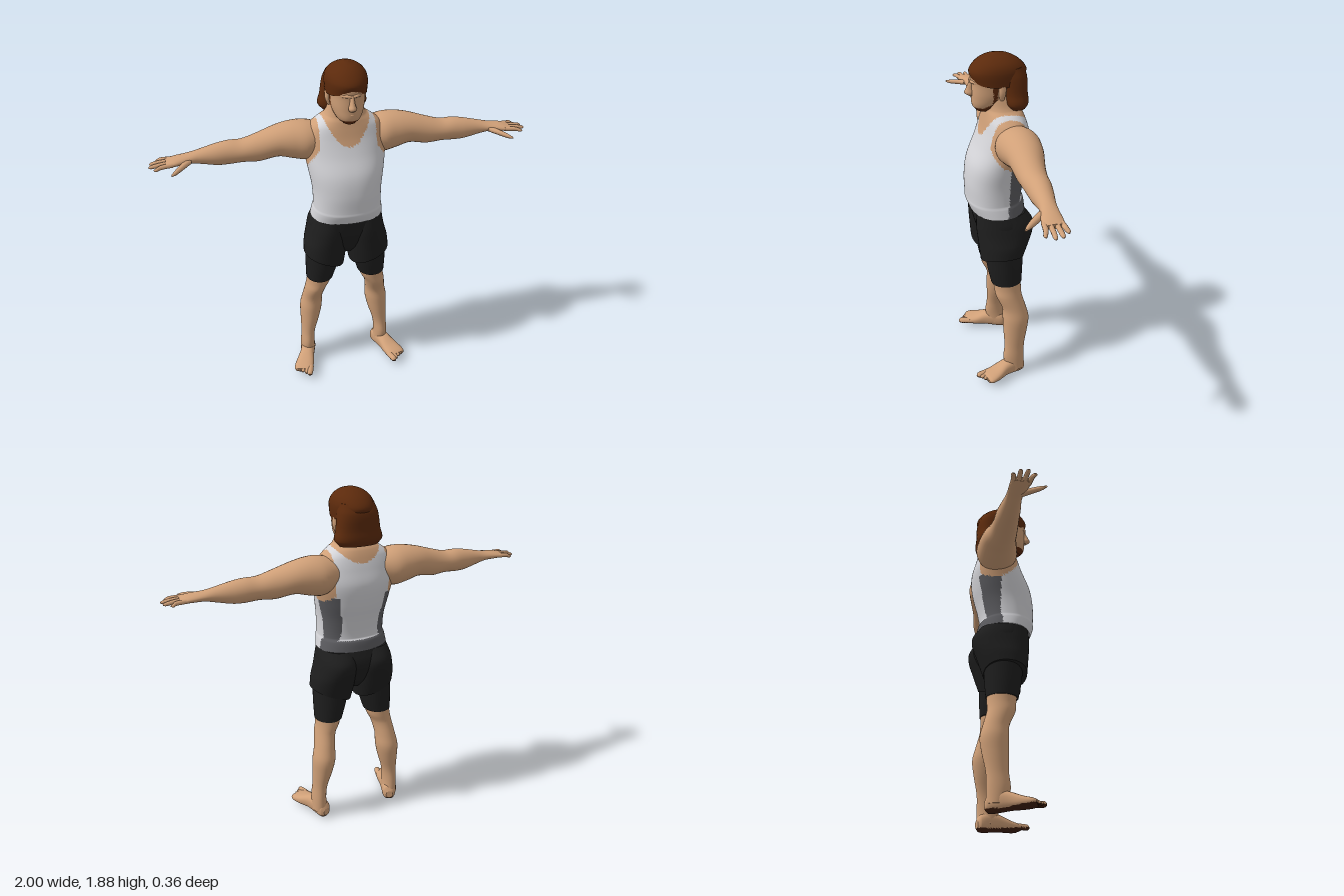
import * as THREE from 'three';

const mat = (name, color) => {
  const m = new THREE.MeshStandardMaterial({ color });
  m.name = name;
  return m;
};

// Smooth interpolation through rows of numbers keyed by their first entry
function refine(rings, sub) {
  const slope = (i, k) => {
    const a = rings[Math.max(i - 1, 0)], b = rings[Math.min(i + 1, rings.length - 1)];
    return (b[k] - a[k]) / (b[0] - a[0]);
  };
  const out = [rings[0]];
  for (let i = 0; i < rings.length - 1; i++) {
    const a = rings[i], b = rings[i + 1], h = b[0] - a[0];
    for (let j = 1; j <= sub; j++) {
      const s = j / sub, s2 = s * s, s3 = s2 * s;
      out.push(a.map((v, k) => k === 0 ? v + h * s :
        (2 * s3 - 3 * s2 + 1) * v + (s3 - 2 * s2 + s) * h * slope(i, k) +
        (3 * s2 - 2 * s3) * b[k] + (s3 - s2) * h * slope(i + 1, k)));
    }
  }
  return out;
}

// Loft of oval rings [t, centreA, centreB, radiusA, radiusB] along an axis.
// paint(x, y, z) picks a material, warp(v) bends points, side -1 mirrors in x.
function loft(name, axis, rings, mats, { n = 24, sub = 4, p = 2, paint = () => 0, warp, side = 1 } = {}) {
  mats = [].concat(mats);
  const rows = refine(rings, sub), raw = [], pos = [], faces = mats.map(() => []);
  const add = (t, a, b) => {
    const v = axis === 'y' ? new THREE.Vector3(a, t, b)
      : axis === 'x' ? new THREE.Vector3(t, a, b) : new THREE.Vector3(a, b, t);
    if (warp) warp(v);
    raw.push(v);
    pos.push(v.x * side, v.y, v.z);
    return raw.length - 1;
  };
  const ring = ([t, ca, cb, ra, rb]) => {
    const first = raw.length;
    for (let i = 0; i < n; i++) {
      const c = Math.cos(i / n * 2 * Math.PI), s = Math.sin(i / n * 2 * Math.PI);
      add(t, ca + ra * Math.sign(c) * Math.abs(c) ** (2 / p), cb + rb * Math.sign(s) * Math.abs(s) ** (2 / p));
    }
    return first;
  };
  const flip = (axis === 'y') !== (side < 0);
  const tri = (a, b, c) => {
    const m = raw[a].clone().add(raw[b]).add(raw[c]).divideScalar(3);
    faces[paint(m.x, m.y, m.z)].push(...(flip ? [a, c, b] : [a, b, c]));
  };
  const starts = rows.map(ring);
  for (let r = 0; r < rows.length - 1; r++) for (let i = 0; i < n; i++) {
    const a = starts[r] + i, b = starts[r] + (i + 1) % n;
    const c = starts[r + 1] + i, d = starts[r + 1] + (i + 1) % n;
    tri(a, b, d);
    tri(a, d, c);
  }
  for (const end of [0, rows.length - 1]) {
    const f = ring(rows[end]), mid = add(...rows[end].slice(0, 3));
    for (let i = 0; i < n; i++) {
      const a = f + i, b = f + (i + 1) % n;
      if (end) tri(a, b, mid); else tri(b, a, mid);
    }
  }
  const g = new THREE.BufferGeometry();
  g.setAttribute('position', new THREE.Float32BufferAttribute(pos, 3));
  g.setIndex(faces.flat());
  let start = 0;
  faces.forEach((f, i) => { g.addGroup(start, f.length, i); start += f.length; });
  g.computeVertexNormals();
  const mesh = new THREE.Mesh(g, mats.length > 1 ? mats : mats[0]);
  mesh.name = name;
  return mesh;
}

export function createModel() {
  const skin = mat('skin', 0xd0a078), white = mat('white cloth', 0xd6d6da), grey = mat('grey cloth', 0x5c5c60);
  const black = mat('black cloth', 0x1e1e1e), hair = mat('brown hair', 0x5c2a0c), sole = mat('dark sole', 0x40200f);
  const model = new THREE.Group();
  model.name = 'figure';

  // Torso and neck: vest with scooped neck, armholes and grey rear panels
  const vest = (x, y, z) => {
    const ax = Math.abs(x), low = z > -0.03 ? 1.45 : 1.515;
    if (y > low + (1.575 - low) * (ax / 0.115) ** 2 || y > 1.59) return 1;
    if (ax > 0.148 && ((z + 0.055) / 0.125) ** 2 + ((y - 1.46) / 0.145) ** 2 < 1) return 1;
    if (y < 1.09 && z < -0.02) return 2;
    if (y < 1.34 && ax > 0.08 && z < -0.03 && z > -0.1 - 0.19 * (y - 1.1)) return 2;
    return 0;
  };
  model.add(loft('torso', 'y', [
    [1.03, 0, 0.003, 0.196, 0.147], [1.08, 0, 0.016, 0.187, 0.153], [1.1, 0, 0.022, 0.182, 0.147],
    [1.2, 0, 0.015, 0.184, 0.156], [1.3, 0, -0.005, 0.2, 0.161], [1.4, 0, -0.032, 0.215, 0.145],
    [1.48, 0, -0.037, 0.212, 0.122], [1.54, 0, -0.035, 0.183, 0.106], [1.575, 0, -0.031, 0.14, 0.095],
    [1.6, 0, -0.025, 0.107, 0.084], [1.66, 0, -0.015, 0.085, 0.075], [1.7, 0, -0.01, 0.075, 0.07]],
  [white, skin, grey], { n: 112, sub: 7, p: 2.25, paint: vest }));

  // Head with jaw beard and sideburns
  model.add(loft('head', 'y', [
    [1.582, 0, 0.06, 0.032, 0.042], [1.61, 0, 0.045, 0.062, 0.08], [1.66, 0, 0.02, 0.083, 0.11],
    [1.72, 0, 0.01, 0.09, 0.12], [1.78, 0, 0.005, 0.095, 0.125], [1.84, 0, 0, 0.07, 0.09],
    [1.86, 0, 0, 0.03, 0.04]], [skin, hair], {
    n: 64, sub: 8, p: 2.2,
    paint: (x, y, z) => z > -0.03 && (y < 1.606 + Math.max(0, 0.08 - z) * 0.55
      || (z > 0.012 && z < 0.035 && y > 1.63)) ? 1 : 0,
  }));
  model.add(loft('nose', 'y', [[1.662, 0, 0.128, 0.014, 0.014], [1.678, 0, 0.138, 0.021, 0.026],
    [1.7, 0, 0.133, 0.014, 0.024], [1.745, 0, 0.122, 0.009, 0.014]], skin, { n: 14 }));
  model.add(loft('brow', 'x', [[-0.065, 1.735, 0.09, 0.006, 0.01], [-0.03, 1.741, 0.123, 0.009, 0.013],
    [0, 1.737, 0.127, 0.008, 0.012], [0.03, 1.741, 0.123, 0.009, 0.013], [0.065, 1.735, 0.09, 0.006, 0.01]],
  skin, { n: 10 }));
  model.add(loft('lips', 'x', [[-0.03, 1.637, 0.112, 0.003, 0.006], [0, 1.639, 0.122, 0.009, 0.01],
    [0.03, 1.637, 0.112, 0.003, 0.006]], skin, { n: 10 }));

  // Hair: cap with fringe, long back
  model.add(loft('hairCap', 'y', [
    [1.76, 0, -0.005, 0.103, 0.136], [1.79, 0, -0.005, 0.106, 0.145], [1.83, 0, -0.003, 0.092, 0.115],
    [1.86, 0, 0, 0.055, 0.068], [1.874, 0, 0, 0.012, 0.016]], hair, {
    n: 40, sub: 5, p: 2.1,
    warp: v => { if (v.y < 1.79) v.y -= 0.35 * Math.abs(v.x) * (1.79 - v.y) / 0.03; },
  }));
  model.add(loft('hairBack', 'y', [
    [1.6, 0, -0.09, 0.105, 0.055], [1.63, 0, -0.088, 0.128, 0.068], [1.68, 0, -0.084, 0.117, 0.068],
    [1.76, 0, -0.075, 0.106, 0.074], [1.81, 0, -0.06, 0.09, 0.065]], hair, { n: 40, p: 2.4 }));

  // Hips of the shorts
  model.add(loft('shortsHips', 'y', [
    [0.79, 0, -0.01, 0.05, 0.06], [0.84, 0, -0.01, 0.15, 0.1], [0.95, 0, -0.015, 0.205, 0.142],
    [1.04, 0, 0.003, 0.188, 0.14]], black, { n: 48, p: 2.25 }));

  for (const side of [1, -1]) {
    const limb = new THREE.Group();
    limb.name = side > 0 ? 'leftLimbs' : 'rightLimbs';
    const part = (name, axis, rings, m, o = {}) => limb.add(loft(name, axis, rings, m, { side, ...o }));

    part('ear', 'y', [[1.655, 0.086, -0.008, 0.008, 0.01], [1.69, 0.092, -0.008, 0.014, 0.018],
      [1.73, 0.094, -0.01, 0.01, 0.018]], skin, { n: 12 });

    // Arm with deltoid, elbow, forearm and palm
    part('arm', 'x', [
      [0.12, 1.46, -0.055, 0.075, 0.085], [0.2, 1.453, -0.057, 0.102, 0.112], [0.27, 1.458, -0.06, 0.098, 0.105],
      [0.35, 1.46, -0.06, 0.081, 0.091], [0.45, 1.438, -0.053, 0.073, 0.075], [0.53, 1.43, -0.05, 0.059, 0.066],
      [0.6, 1.428, -0.05, 0.061, 0.061], [0.66, 1.425, -0.047, 0.056, 0.055], [0.75, 1.425, -0.042, 0.036, 0.042],
      [0.8, 1.425, -0.037, 0.025, 0.042], [0.87, 1.421, -0.027, 0.02, 0.05], [0.915, 1.418, -0.024, 0.012, 0.05]],
    skin, { n: 32, sub: 5 });
    [[0.965, -0.062, -0.072], [0.995, -0.037, -0.04], [1, -0.011, -0.005], [0.975, 0.013, 0.031]].forEach(([tip, z0, z1], i) =>
      part('finger' + (i + 1), 'x', [[0.88, 1.419, z0, 0.012, 0.013], [0.94, 1.417, (z0 + z1) / 2, 0.011, 0.012],
        [tip - 0.012, 1.411, z1, 0.009, 0.01], [tip, 1.409, z1, 0.003, 0.004]], skin, { n: 10 }));
    part('thumb', 'x', [[0.79, 1.42, -0.02, 0.014, 0.03], [0.83, 1.415, 0.025, 0.015, 0.026],
      [0.87, 1.407, 0.07, 0.012, 0.018], [0.893, 1.403, 0.094, 0.005, 0.007]], skin, { n: 12 });

    // Loose outer leg of the shorts, with a slanted hem, over a tighter one
    part('shortsLeg', 'y', [
      [0.755, 0.128, 0, 0.11, 0.116], [0.85, 0.115, -0.012, 0.117, 0.137], [0.92, 0.104, -0.021, 0.112, 0.153],
      [0.97, 0.1, -0.02, 0.105, 0.154], [1.03, 0.093, -0.002, 0.096, 0.132]], black, {
      n: 36, p: 2.15,
      warp: v => { v.y += 0.38 * (v.x - 0.128) * Math.max(0, (0.88 - v.y) / 0.125); },
    });
    part('innerShortsLeg', 'y', [[0.612, 0.15, -0.02, 0.076, 0.085], [0.7, 0.138, -0.014, 0.09, 0.097],
      [0.8, 0.128, -0.01, 0.1, 0.105]], black, { n: 32 });

    // Lower leg with knee, calf and ankle
    part('leg', 'y', [
      [0.04, 0.225, -0.055, 0.042, 0.052], [0.12, 0.227, -0.047, 0.039, 0.06], [0.2, 0.221, -0.052, 0.04, 0.057],
      [0.3, 0.206, -0.06, 0.055, 0.068], [0.38, 0.197, -0.064, 0.063, 0.074], [0.45, 0.189, -0.055, 0.057, 0.067],
      [0.53, 0.175, -0.028, 0.058, 0.073], [0.58, 0.158, -0.024, 0.066, 0.076], [0.64, 0.15, -0.02, 0.07, 0.08]],
    skin, { n: 32 });

    // Foot turned outward, with a dark sole and five toes
    const turn = v => v.applyAxisAngle(new THREE.Vector3(0, 1, 0), 0.32).add(new THREE.Vector3(0.222, 0, -0.055));
    const under = (x, y, z) => y < 0.018 + 0.1 * Math.max(0, z + 0.05) ? 1 : 0;
    part('foot', 'z', [
      [-0.056, 0, 0.038, 0.02, 0.022], [-0.04, 0, 0.045, 0.036, 0.045], [0.01, 0, 0.055, 0.04, 0.053],
      [0.07, 0, 0.054, 0.042, 0.044], [0.13, 0.004, 0.044, 0.052, 0.031], [0.18, 0.007, 0.04, 0.054, 0.021],
      [0.2, 0.007, 0.04, 0.045, 0.012]], [skin, sole], { n: 32, p: 2.4, warp: turn, paint: under });
    for (let i = 0; i < 5; i++) {
      const x = -0.035 + i * 0.021, r = i ? 0.011 : 0.016, tip = 0.235 - i * 0.01;
      part('toe' + (i + 1), 'z', [[0.165, x, 0.042, r, r], [tip - 0.012, x, 0.041, r, r],
        [tip, x, 0.04, r * 0.4, r * 0.4]], [skin, sole], { n: 12, warp: turn, paint: under });
    }
    model.add(limb);
  }
  return model;
}
